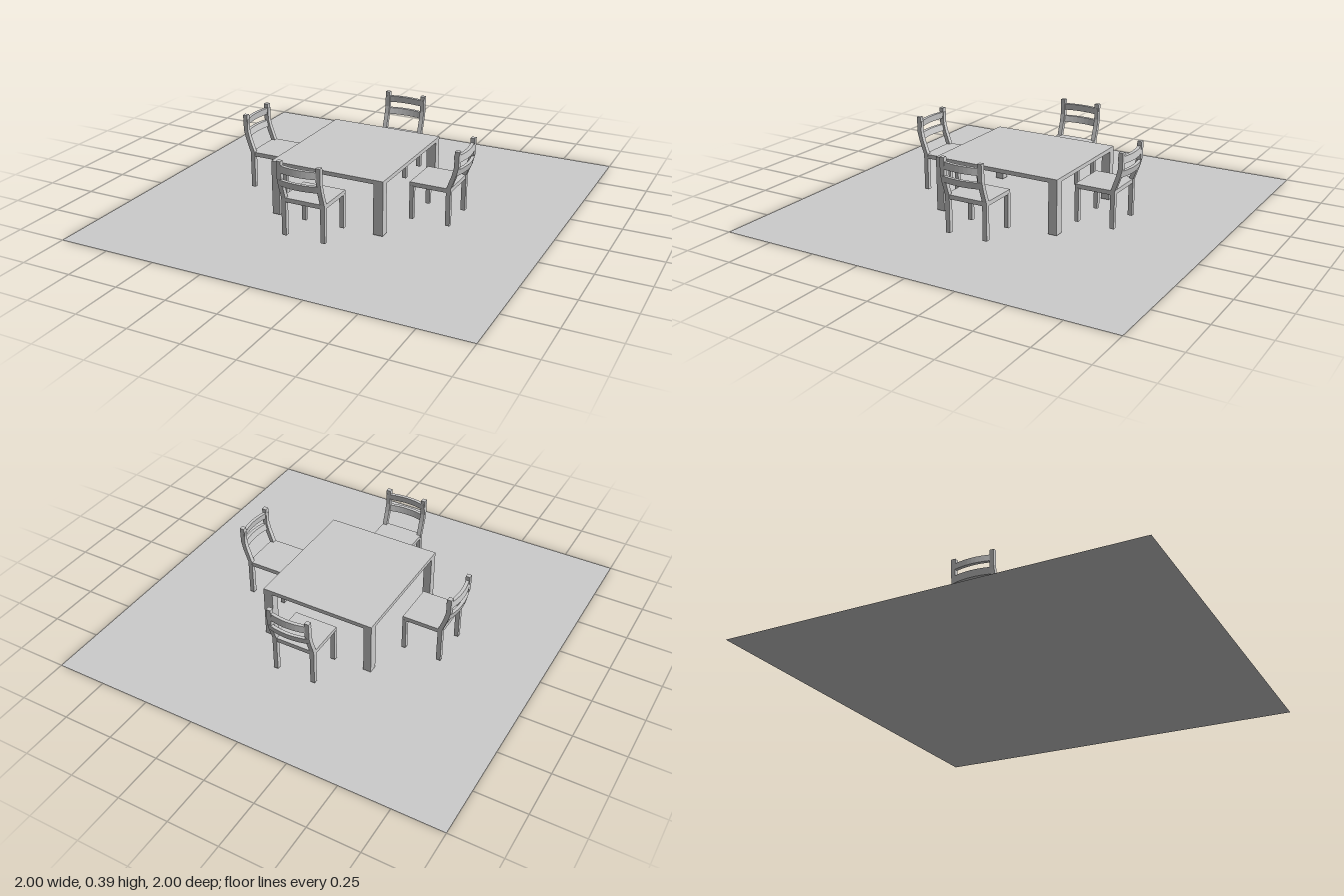
import * as THREE from 'three';

const material = new THREE.MeshStandardMaterial({ color: 0xcccccc, flatShading: true });
const floorMaterial = new THREE.MeshStandardMaterial({ color: 0xcccccc, side: THREE.DoubleSide });

// Box given by its minimum and maximum corners
function box(name, min, max) {
  const size = max.map((v, i) => v - min[i]);
  const mesh = new THREE.Mesh(new THREE.BoxGeometry(...size), material);
  mesh.position.set(...max.map((v, i) => (v + min[i]) / 2));
  mesh.name = name;
  return mesh;
}

// Side post: a (z, y) profile bent backwards above the seat, extruded across x
function backPost(x0, width) {
  const profile = [
    [0.182, 0.016], [0.204, 0.016], [0.204, 0.2], [0.229, 0.27], [0.239, 0.31],
    [0.241, 0.39], [0.219, 0.39], [0.217, 0.31], [0.207, 0.27], [0.182, 0.2],
  ].map(([z, y]) => new THREE.Vector2(-z, y));
  const geometry = new THREE.ExtrudeGeometry(new THREE.Shape(profile), { depth: width, bevelEnabled: false });
  geometry.rotateY(Math.PI / 2);
  geometry.translate(x0, 0, 0);
  const mesh = new THREE.Mesh(geometry, material);
  mesh.name = 'backPost';
  return mesh;
}

// Back slat: a curved strip that bulges backwards and leans with the posts
function backSlat(bottom, top, z, lean) {
  const half = 0.108, bulge = 0.018, thickness = 0.017, steps = 10;
  const front = [], rear = [];
  for (let i = 0; i <= steps; i++) {
    const t = -1 + (2 * i) / steps;
    const arc = z + bulge * (1 - t * t);
    front.push(new THREE.Vector2(t * half, -arc));
    rear.unshift(new THREE.Vector2(t * half, -arc - thickness));
  }
  const shape = new THREE.Shape([...front, ...rear]);
  const geometry = new THREE.ExtrudeGeometry(shape, { depth: top - bottom, bevelEnabled: false });
  geometry.rotateX(-Math.PI / 2);
  const p = geometry.attributes.position;
  for (let i = 0; i < p.count; i++) {
    p.setZ(i, p.getZ(i) + (lean * p.getY(i)) / (top - bottom));
  }
  geometry.translate(0, bottom, 0);
  geometry.computeVertexNormals();
  const mesh = new THREE.Mesh(geometry, material);
  mesh.name = 'backSlat';
  return mesh;
}

// Chair with its front edge at z = 0 and its back towards +z
function chair() {
  const group = new THREE.Group();
  group.name = 'chair';
  for (const x of [-0.11, 0.088]) {
    group.add(box('frontLeg', [x, 0.016, 0], [x + 0.022, 0.185, 0.02]));
    group.add(backPost(x, 0.022));
  }
  group.add(box('seat', [-0.109, 0.181, 0], [0.109, 0.202, 0.202]));
  group.add(backSlat(0.27, 0.302, 0.212, 0.007));
  group.add(backSlat(0.335, 0.368, 0.218, -0.004));
  return group;
}

export function createModel() {
  const model = new THREE.Group();

  // Floor
  const floor = new THREE.Mesh(new THREE.PlaneGeometry(2, 2), floorMaterial);
  floor.rotation.x = -Math.PI / 2;
  floor.name = 'floor';
  model.add(floor);

  // Table
  const table = new THREE.Group();
  table.name = 'table';
  table.add(box('tableTop', [-0.29, 0.255, -0.33], [0.29, 0.275, 0.328]));
  for (const [x0, x1] of [[-0.29, -0.25], [0.242, 0.29]]) {
    for (const [z0, z1] of [[-0.33, -0.286], [0.287, 0.328]]) {
      table.add(box('tableLeg', [x0, 0.005, z0], [x1, 0.256, z1]));
    }
  }
  model.add(table);

  // Chairs around the table: position of the front edge and turn
  const places = [
    [-0.008, 0.33, 0],
    [0.326, 0.003, Math.PI / 2],
    [0.003, -0.328, Math.PI],
    [-0.337, 0, -Math.PI / 2],
  ];
  for (const [x, z, turn] of places) {
    const seat = chair();
    seat.position.set(x, 0, z);
    seat.rotation.y = turn;
    model.add(seat);
  }
  return model;
}
